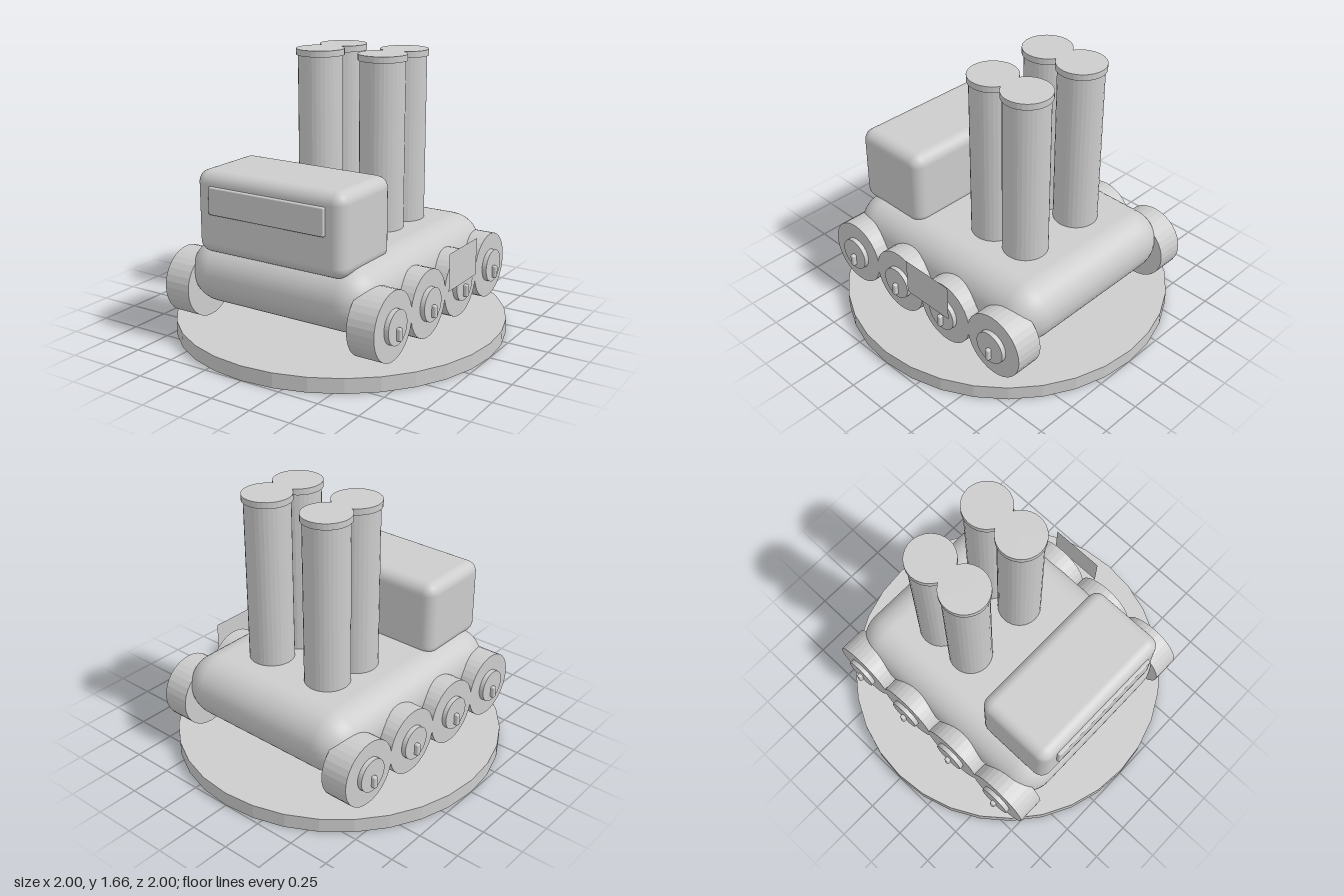
import * as THREE from 'three';
import { RoundedBoxGeometry } from 'three/addons/geometries/RoundedBoxGeometry.js';

export function createModel() {
  const model = new THREE.Group();
  model.name = 'wheeledTowerVehicle';
  const grey = new THREE.MeshStandardMaterial({ color: 0xcccccc });
  grey.name = 'light grey';
  grey.side = THREE.DoubleSide;

  const add = (parent, name, geometry, x, y, z) => {
    const mesh = new THREE.Mesh(geometry, grey);
    mesh.name = name;
    mesh.position.set(x, y, z);
    parent.add(mesh);
    return mesh;
  };

  // Faceted cylinder with crisp sides
  const drum = (radius, height) => {
    const g = new THREE.CylinderGeometry(radius, radius, height, 32).toNonIndexed();
    g.computeVertexNormals();
    return g;
  };

  // Round display base
  add(model, 'base', drum(1, 0.088), 0, 0.044, 0);

  // Pillow-shaped hull
  add(model, 'body', new RoundedBoxGeometry(1.24, 0.385, 1.51, 5, 0.188), 0, 0.432, 0);

  // Cabin with a raised window panel
  add(model, 'cabin', new RoundedBoxGeometry(0.985, 0.48, 0.505, 4, 0.07), 0, 0.815, 0.497);
  add(model, 'windowPanel', new RoundedBoxGeometry(0.768, 0.16, 0.04, 2, 0.008), 0, 0.895, 0.75);

  // Two pairs of merged tall tubes with lids
  for (const x of [-0.215, 0.215]) {
    for (const z of [-0.105, -0.358]) {
      const tube = new THREE.Group();
      tube.name = 'tube';
      tube.position.set(x, 0, z);
      add(tube, 'tubeWall', drum(0.134, 1.07), 0, 1.09, 0);
      add(tube, 'tubeLid', drum(0.145, 0.037), 0, 1.637, 0);
      model.add(tube);
    }
  }

  // Four wheels on each side, with hub and hub pin
  for (const side of [-1, 1]) {
    for (const z of [0.588, 0.197, -0.195, -0.586]) {
      const wheel = new THREE.Group();
      wheel.name = 'wheel';
      wheel.position.set(0, 0.33, z);
      add(wheel, 'tyre', drum(0.2, 0.17), side * 0.622, 0, 0).rotation.z = Math.PI / 2;
      add(wheel, 'hub', drum(0.1, 0.05), side * 0.71, 0, 0).rotation.z = Math.PI / 2;
      add(wheel, 'hubPin', new RoundedBoxGeometry(0.05, 0.075, 0.03, 2, 0.009), side * 0.735, -0.037, 0);
      model.add(wheel);
    }
  }

  // Thin plate on the left side
  const plate = add(model, 'sidePlate', new THREE.PlaneGeometry(0.345, 0.225), 0.76, 0.48, -0.113);
  plate.rotation.y = Math.PI / 2;

  return model;
}
